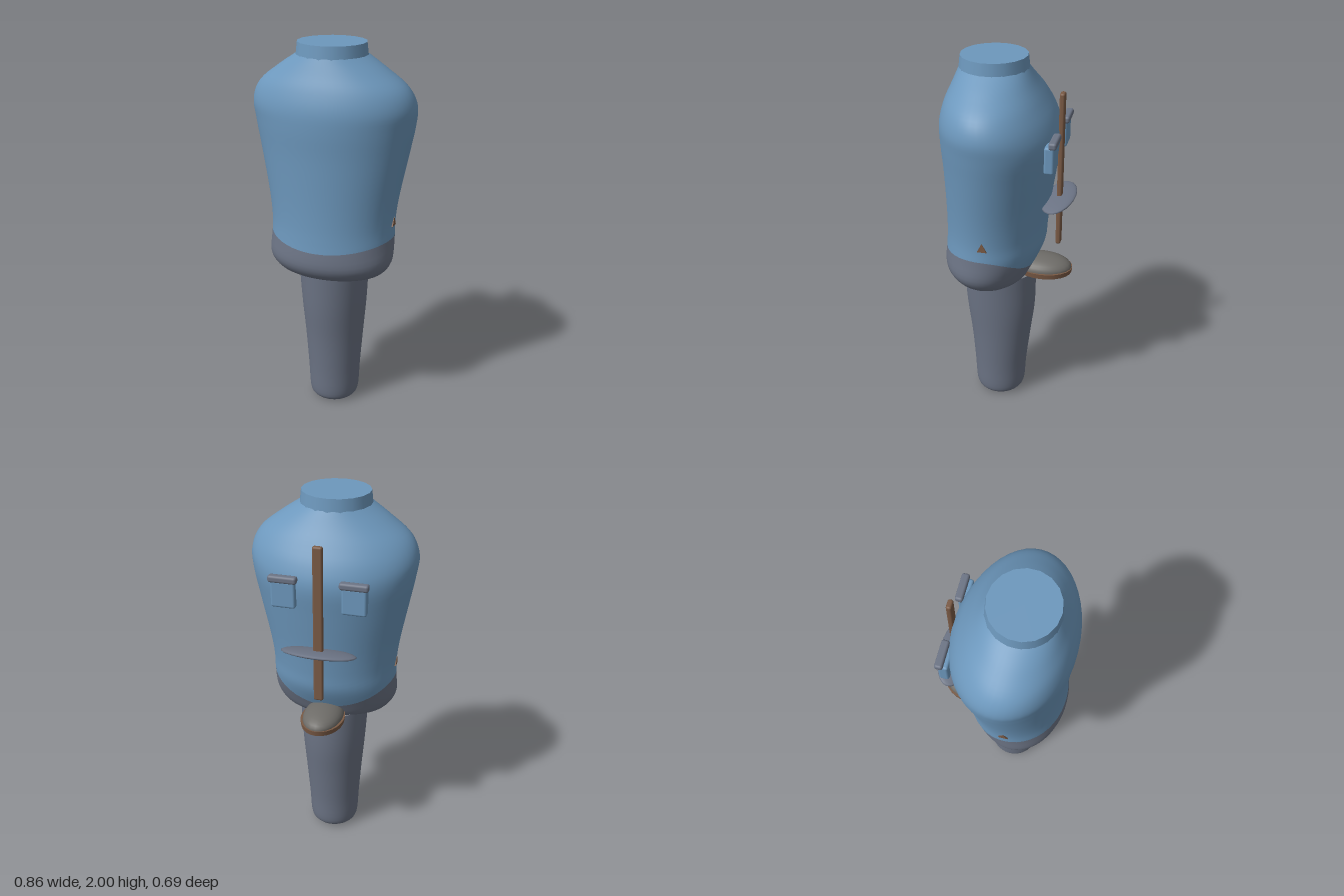
import * as THREE from 'three';
import { RoundedBoxGeometry } from 'three/addons/geometries/RoundedBoxGeometry.js';

const mat = (name, color) => {
  const m = new THREE.MeshStandardMaterial({ color });
  m.name = name;
  return m;
};

// Cross-sections [y, half width, front z, back z], smoothed between rows
function makeProfile(rows) {
  const a = new THREE.CatmullRomCurve3(rows.map(r => new THREE.Vector3(r[0], r[1], r[2])), false, 'catmullrom', 0.5);
  const b = new THREE.CatmullRomCurve3(rows.map(r => new THREE.Vector3(r[0], r[3], 0)), false, 'catmullrom', 0.5);
  return {
    point(t, angle) {
      const p = a.getPoint(t), back = b.getPoint(t).y;
      const mid = (p.z + back) / 2, rz = (p.z - back) / 2;
      return [p.y * Math.sin(angle), p.x, mid + rz * Math.cos(angle)];
    },
    // Curve parameter at a given height
    at(y) {
      let lo = 0, hi = 1;
      for (let i = 0; i < 30; i++) {
        const m = (lo + hi) / 2;
        if (a.getPoint(m).x < y) lo = m; else hi = m;
      }
      return lo;
    },
  };
}

// Skin between start(angle) and end(angle), with an optional flat floor
function skin(profile, start, end, steps, floor = false, sides = 48) {
  const pos = [], idx = [];
  for (let i = 0; i <= steps; i++) {
    for (let j = 0; j < sides; j++) {
      const angle = (j / sides) * Math.PI * 2;
      const t0 = start(angle), t1 = end(angle);
      pos.push(...profile.point(t0 + (t1 - t0) * i / steps, angle));
      if (i === steps) continue;
      const k = (j + 1) % sides, r = i * sides, s = r + sides;
      idx.push(r + j, r + k, s + k, r + j, s + k, s + j);
    }
  }
  if (floor) {
    const base = pos.length / 3;
    let z = 0;
    for (let j = 0; j < sides; j++) {
      pos.push(pos[j * 3], pos[j * 3 + 1], pos[j * 3 + 2]);
      z += pos[j * 3 + 2] / sides;
      idx.push(base + sides, base + (j + 1) % sides, base + j);
    }
    pos.push(0, pos[1], z);
  }
  const g = new THREE.BufferGeometry();
  g.setAttribute('position', new THREE.Float32BufferAttribute(pos, 3));
  g.setIndex(idx);
  g.computeVertexNormals();
  return g;
}

export function createModel() {
  const group = new THREE.Group();
  const blue = mat('blue cloth', 0x6d98bd);
  const grey = mat('slate grey', 0x6c7485);
  const brown = mat('brown', 0x7a5a45);
  const warm = mat('warm grey', 0x6e6c68);

  const add = (name, geometry, material, x = 0, y = 0, z = 0) => {
    const m = new THREE.Mesh(geometry, material);
    m.name = name;
    m.position.set(x, y, z);
    group.add(m);
    return m;
  };

  // Torso and hem share one surface, split along a wavy line
  const torso = makeProfile([
    [0.80, 0.245, 0.25, -0.07],
    [0.825, 0.295, 0.305, -0.11],
    [0.89, 0.333, 0.342, -0.14],
    [1.00, 0.332, 0.335, -0.185],
    [1.10, 0.332, 0.33, -0.195],
    [1.24, 0.35, 0.33, -0.21],
    [1.45, 0.39, 0.336, -0.24],
    [1.60, 0.418, 0.345, -0.257],
    [1.70, 0.426, 0.342, -0.23],
    [1.79, 0.385, 0.318, -0.18],
    [1.87, 0.285, 0.283, -0.13],
    [1.94, 0.18, 0.253, -0.09],
  ]);
  const seam = angle => {
    const c = Math.cos(angle);
    return torso.at(1.015 - (c > 0 ? 0.04 : 0.125) * c * c);
  };
  add('hem', skin(torso, () => 0, seam, 12, true), grey);
  add('torso', skin(torso, seam, () => 1, 36), blue);

  // Neck collar
  const neck = add('neck', new THREE.CylinderGeometry(0.174, 0.182, 0.07, 18), blue, 0, 1.965, 0.081);
  neck.scale.z = 0.96;

  // Single tapering leg
  const leg = makeProfile([
    [0.003, 0.085, 0.145, -0.03],
    [0.018, 0.118, 0.178, -0.06],
    [0.06, 0.135, 0.197, -0.08],
    [0.20, 0.143, 0.205, -0.09],
    [0.40, 0.157, 0.22, -0.113],
    [0.60, 0.173, 0.243, -0.136],
    [0.82, 0.186, 0.257, -0.138],
  ]);
  add('leg', skin(leg, () => 0, () => 1, 24, true), grey);

  // Rod standing behind the back
  add('rod', new RoundedBoxGeometry(0.05, 0.83, 0.027, 2, 0.01), brown, 0, 1.415, -0.26);

  // Pockets with flaps, and side studs
  const tri = new THREE.Shape([[-0.025, -0.025], [0.025, -0.025], [0, 0.025]].map(p => new THREE.Vector2(...p)));
  const studGeometry = new THREE.ExtrudeGeometry(tri, { depth: 0.012, bevelEnabled: false });
  for (const s of [-1, 1]) {
    add('pocket', new RoundedBoxGeometry(0.125, 0.14, 0.05, 2, 0.012), blue, s * 0.177, 1.565, -0.241);
    add('pocketFlap', new RoundedBoxGeometry(0.145, 0.036, 0.04, 2, 0.012), grey, s * 0.177, 1.645, -0.258);
    const stud = add('sideStud', studGeometry, brown, s * 0.324, 1.105, 0.07);
    stud.rotation.y = s * Math.PI / 2;
  }

  // Thin curved blade crossing the rod
  const blade = add('blade', new THREE.SphereGeometry(1, 24, 12), grey, 0, 1.265, -0.257);
  blade.scale.set(0.195, 0.018, 0.089);
  blade.rotation.x = 0.2;

  // Foot: flat sole with a domed upper
  const sole = add('sole', new THREE.CylinderGeometry(1, 0.97, 0.028, 24), brown, 0, 0.838, -0.185);
  sole.scale.set(0.115, 1, 0.155);
  const upper = add('footUpper', new THREE.SphereGeometry(1, 24, 8, 0, Math.PI * 2, 0, Math.PI / 2), warm, 0, 0.852, -0.175);
  upper.scale.set(0.105, 0.06, 0.16);

  return group;
}
